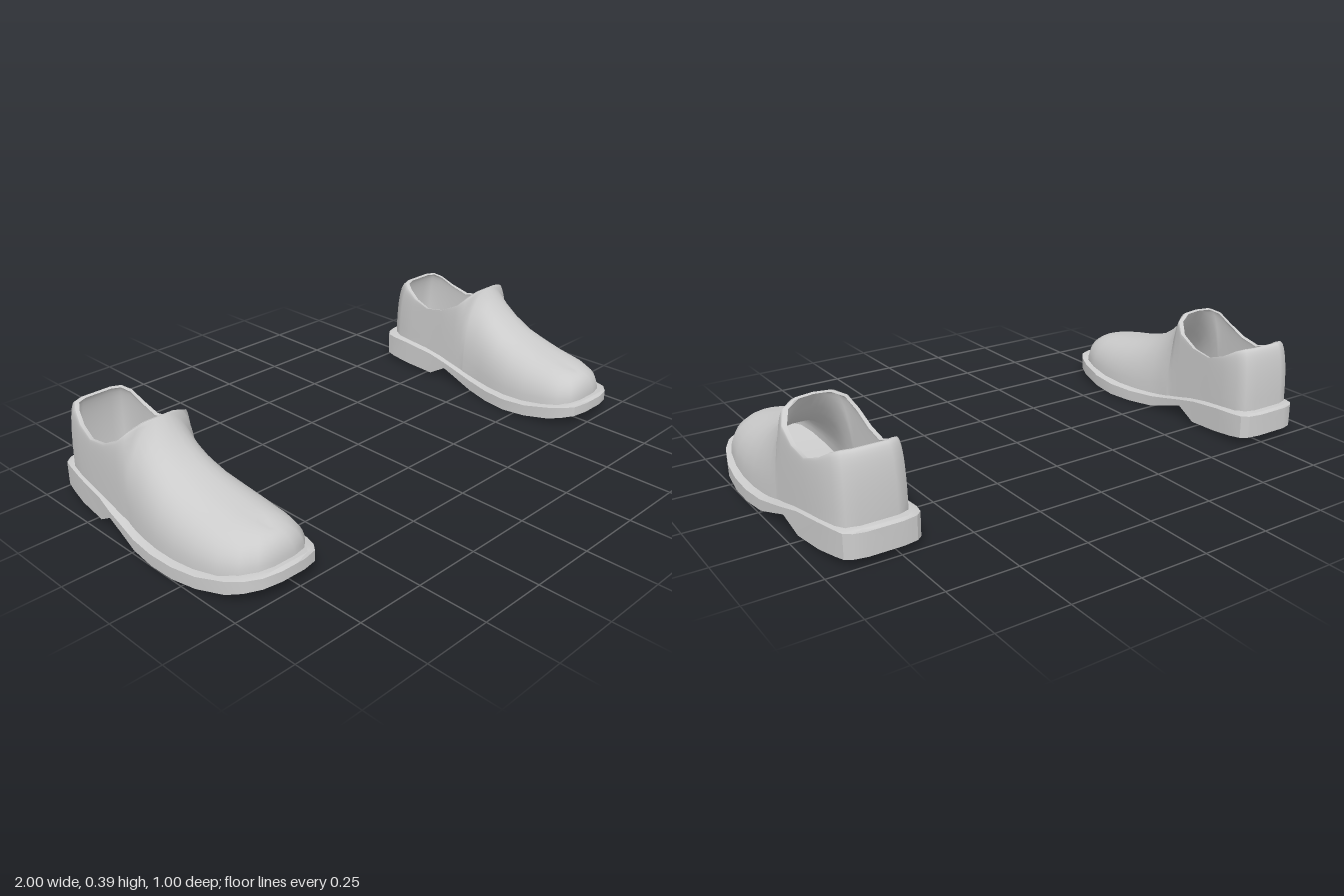
import * as THREE from 'three';
import { mergeVertices, toCreasedNormals } from 'three/addons/utils/BufferGeometryUtils.js';

const V = (x, y, z) => new THREE.Vector3(x, y, z);

// piecewise-linear height along the shoe, from [z, y] points running toe to heel
const heightAt = (table, z) => {
  for (let i = 1; i < table.length; i++) {
    const [z0, y0] = table[i - 1], [z1, y1] = table[i];
    if (z >= z1) return y0 + (y1 - y0) * Math.min(1, Math.max(0, (z0 - z) / (z0 - z1)));
  }
  return table[table.length - 1][1];
};
const SOLE_TOP = [[0.5, 0.086], [0.4, 0.068], [0.3, 0.051], [0.15, 0.04], [0, 0.045],
  [-0.1, 0.063], [-0.2, 0.086], [-0.3, 0.1], [-0.4, 0.107], [-0.5, 0.11]];
const SOLE_BOTTOM = [[0.5, 0.05], [0.4, 0.022], [0.3, 0.008], [0.2, 0], [0.1, 0], [0, 0.005],
  [-0.08, 0.028], [-0.15, 0.05], [-0.225, 0.006], [-0.35, 0.012], [-0.5, 0.028]];

// sole outline: z, inner x, outer x
const SOLE = [[0.5, 0.73, 0.82], [0.485, 0.675, 0.88], [0.45, 0.648, 0.925], [0.4, 0.628, 0.955],
  [0.3, 0.608, 0.985], [0.2, 0.605, 0.998], [0.1, 0.62, 1], [0, 0.645, 0.992], [-0.08, 0.655, 0.982],
  [-0.15, 0.66, 0.975], [-0.225, 0.662, 0.962], [-0.35, 0.66, 0.95], [-0.43, 0.66, 0.935],
  [-0.47, 0.668, 0.925], [-0.49, 0.69, 0.9], [-0.5, 0.74, 0.86]];

// upper, closed part: base z, inner x, outer x, then ridge z, y, x
const VAMP = [[0.468, 0.74, 0.82, 0.4, 0.178, 0.78], [0.455, 0.69, 0.87, 0.37, 0.185, 0.78],
  [0.42, 0.655, 0.915, 0.34, 0.192, 0.78], [0.36, 0.638, 0.95, 0.3, 0.2, 0.785],
  [0.27, 0.63, 0.967, 0.23, 0.213, 0.79], [0.18, 0.633, 0.975, 0.15, 0.235, 0.8],
  [0.1, 0.645, 0.975, 0.08, 0.262, 0.805], [0.03, 0.66, 0.97, 0.02, 0.305, 0.81],
  [-0.02, 0.668, 0.965, -0.02, 0.347, 0.81]];
// upper, open part: base z, inner x, outer x, then rim z, y, inner x, outer x
const COLLAR = [[-0.06, 0.67, 0.96, -0.055, 0.39, 0.81, 0.81], [-0.065, 0.673, 0.958, -0.06, 0.387, 0.75, 0.87],
  [-0.085, 0.675, 0.957, -0.077, 0.367, 0.705, 0.917], [-0.12, 0.676, 0.956, -0.115, 0.328, 0.682, 0.942],
  [-0.19, 0.678, 0.953, -0.19, 0.291, 0.678, 0.947], [-0.27, 0.68, 0.948, -0.27, 0.277, 0.68, 0.943],
  [-0.35, 0.678, 0.94, -0.34, 0.3, 0.684, 0.932], [-0.42, 0.683, 0.925, -0.39, 0.33, 0.695, 0.915],
  [-0.455, 0.7, 0.905, -0.42, 0.343, 0.715, 0.895], [-0.468, 0.74, 0.865, -0.432, 0.345, 0.75, 0.86]];
const UPPER = [...VAMP.map(r => [...r, r[5]]), ...COLLAR];

// skin between neighbouring rows of points; side -1 mirrors it
function skin(rows, side, flip = false) {
  const pos = [], ab = V(), ac = V();
  const tri = (a, b, c) => {
    if (ab.subVectors(b, a).cross(ac.subVectors(c, a)).length() < 1e-9) return;
    for (const p of flip !== (side < 0) ? [a, c, b] : [a, b, c]) pos.push(p.x * side, p.y, p.z);
  };
  for (let i = 0; i + 1 < rows.length; i++) {
    for (let j = 0; j + 1 < rows[i].length; j++) {
      const a = rows[i][j], b = rows[i + 1][j], c = rows[i + 1][j + 1], d = rows[i][j + 1];
      tri(a, d, b);
      tri(b, d, c);
    }
  }
  const g = new THREE.BufferGeometry();
  g.setAttribute('position', new THREE.Float32BufferAttribute(pos, 3));
  return g;
}
function smooth(g) {
  const m = mergeVertices(g, 1e-4);
  m.computeVertexNormals();
  return m;
}

// base and top point of one wall column; inset gives the lining
function ends([zb, xi, xo, zr, yr, ri, ro], outer, inset, open) {
  const base = V(outer ? xo : xi, heightAt(SOLE_TOP, zb) + 0.006, zb);
  const top = V(outer ? ro : ri, yr, zr);
  if (inset) {
    base.set(0.8 + (base.x - 0.8) * 0.91, base.y + 0.01, zb * 0.97);
    if (open) top.set(0.81 + (top.x - 0.81) * 0.9, yr - 0.003, -0.25 + (zr + 0.25) * 0.94);
    else top.set(top.x, yr - 0.016, zr - 0.01);
  }
  return [base, top];
}
// closed ring over both sides of the shoe
function ring(rows, make) {
  const list = [...rows.map(r => make(r, false)), ...[...rows].reverse().map(r => make(r, true))];
  return [...list, list[0]];
}
// wall column rising steeply, then curving over to its top point
function column(row, outer, inset) {
  const [b, t] = ends(row, outer, inset, COLLAR.includes(row));
  const c1 = V(b.x, b.y + (t.y - b.y) * 0.6, b.z);
  const c2 = t.clone().lerp(V(b.x, t.y, b.z), 0.6);
  return new THREE.CubicBezierCurve3(b, c1, c2, t).getPoints(10);
}

function soleGeometry(side) {
  const rows = SOLE.map(([z, xi, xo], i) => {
    const t = heightAt(SOLE_TOP, z), b = heightAt(SOLE_BOTTOM, z);
    const raised = t + (i === 0 || i === SOLE.length - 1 ? 0 : 0.008);
    return [V(xi, b, z), V(xi, t, z), V(xi + 0.03, raised, z), V(xo - 0.03, raised, z),
      V(xo, t, z), V(xo, b, z), V(xi, b, z)];
  });
  // end caps: the end sections collapse to their middle
  const cap = r => { const m = r[0].clone().lerp(r[4], 0.5); return r.map(() => m); };
  return toCreasedNormals(skin([cap(rows[0]), ...rows, cap(rows[rows.length - 1])], side), 0.5);
}

function shoe(side, name) {
  const group = new THREE.Group();
  group.name = name;
  const material = new THREE.MeshStandardMaterial({ color: 0xcccccc, side: THREE.DoubleSide });
  const add = (part, geometry) => {
    const mesh = new THREE.Mesh(geometry, material);
    mesh.name = part;
    group.add(mesh);
  };
  add('soleAndHeel', soleGeometry(side));
  add('upper', smooth(skin(ring(UPPER, (r, o) => column(r, o, false)), side)));
  add('lining', smooth(skin(ring(UPPER, (r, o) => column(r, o, true)), side, true)));
  add('collarRim', smooth(skin(ring(COLLAR, (r, o) =>
    [ends(r, o, false, true)[1], ends(r, o, true, true)[1]]), side)));
  add('insole', smooth(skin(UPPER.map(r =>
    [ends(r, false, true, true)[0], ends(r, true, true, true)[0]]), side)));
  return group;
}

export function createModel() {
  const model = new THREE.Group();
  model.name = 'pairOfShoes';
  model.add(shoe(1, 'leftShoe'), shoe(-1, 'rightShoe'));
  return model;
}
